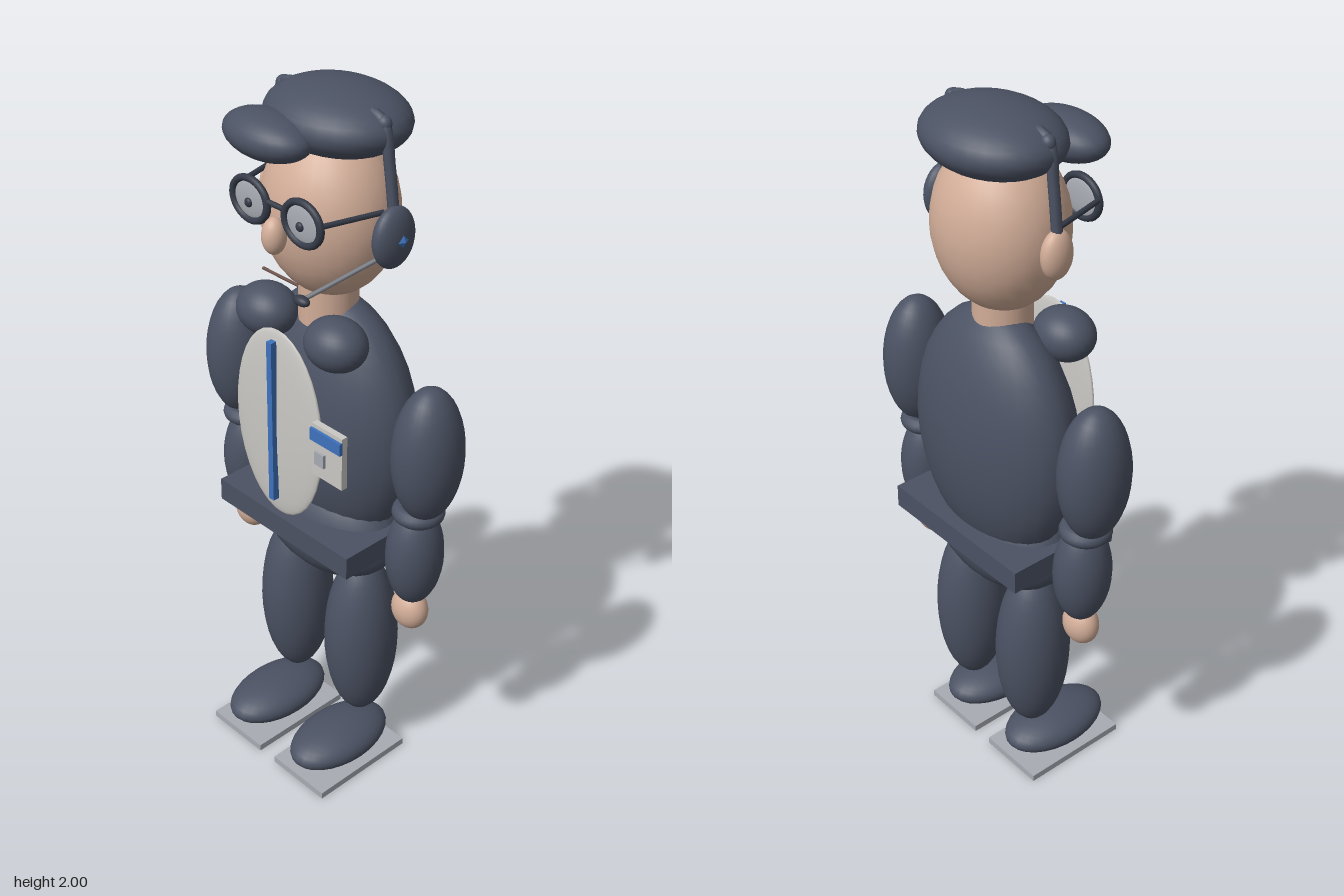
import * as THREE from 'three';

const mat = (name, color, opts = {}) => {
  const m = new THREE.MeshStandardMaterial({ color, ...opts });
  m.name = name;
  return m;
};

export function createModel() {
  const cloth = mat('slate cloth', 0x4b5263);
  const frame = mat('dark frame', 0x343a47);
  const skin = mat('skin', 0xd2ad98);
  const white = mat('off white', 0xcac8c4);
  const blue = mat('blue', 0x3f72bd);
  const grey = mat('light grey', 0xa8acb3);
  const metal = mat('boom grey', 0x747880);
  const brown = mat('mouth brown', 0x6b5048);

  const root = new THREE.Group();
  root.name = 'figure';
  const Z = -0.035; // depth of the body axis

  const add = (name, geo, material, x, y, z) => {
    const m = new THREE.Mesh(geo, material);
    m.name = name;
    m.position.set(x, y, z);
    root.add(m);
    return m;
  };
  // Ellipsoid with three radii
  const ball = (name, material, x, y, z, rx, ry, rz) =>
    add(name, new THREE.SphereGeometry(1, 28, 18).scale(rx, ry, rz), material, x, y, z);
  const box = (name, material, x, y, z, w, h, d) =>
    add(name, new THREE.BoxGeometry(w, h, d), material, x, y, z);
  // Round rod along a list of points
  const rod = (name, material, r, pts, steps = 1) => {
    const v = pts.map((p) => new THREE.Vector3(...p));
    const path = v.length === 2 ? new THREE.LineCurve3(v[0], v[1]) : new THREE.CatmullRomCurve3(v);
    return add(name, new THREE.TubeGeometry(path, steps, r, 8), material, 0, 0, 0);
  };

  // Torso, pelvis and belt
  ball('torso', cloth, 0, 1.08, -0.05, 0.277, 0.37, 0.155);
  ball('pelvis', cloth, 0, 0.765, Z, 0.24, 0.17, 0.14);
  box('belt', cloth, 0, 0.795, -0.03, 0.5, 0.066, 0.342);

  // Shirt front with zip, and badge
  ball('shirtFront', white, 0, 1.128, 0.143, 0.162, 0.277, 0.018);
  box('zip', blue, 0, 1.143, 0.166, 0.018, 0.475, 0.018);
  box('badge', white, 0.209, 1.143, 0.164, 0.108, 0.152, 0.018);
  box('badgeStripe', blue, 0.209, 1.19, 0.176, 0.108, 0.035, 0.009);
  box('badgePicture', grey, 0.187, 1.125, 0.176, 0.034, 0.038, 0.009);

  // Limbs, mirrored
  for (const s of [-1, 1]) {
    const side = s > 0 ? 'left' : 'right';
    ball(side + 'Collar', cloth, s * 0.127, 1.387, 0.065, 0.088, 0.069, 0.076);
    ball(side + 'UpperArm', cloth, s * 0.357, 1.127, Z, 0.089, 0.193, 0.1);
    ball(side + 'Forearm', cloth, s * 0.325, 0.8, Z, 0.075, 0.155, 0.081);
    const cuff = add(side + 'Cuff', new THREE.TorusGeometry(0.048, 0.022, 12, 28), cloth, s * 0.333, 0.94, Z);
    cuff.rotation.x = Math.PI / 2;
    ball(side + 'Hand', skin, s * 0.32, 0.616, -0.03, 0.055, 0.06, 0.044);
    ball(side + 'Leg', cloth, s * 0.132, 0.412, Z, 0.101, 0.27, 0.107);
    ball(side + 'Shoe', cloth, s * 0.132, 0.074, 0.05, 0.101, 0.056, 0.167);
    box(side + 'Sole', grey, s * 0.132, 0.01, 0.048, 0.202, 0.02, 0.326);
  }

  // Head
  add('neck', new THREE.CylinderGeometry(0.078, 0.078, 0.16, 28), skin, 0, 1.46, -0.03);
  ball('head', skin, 0, 1.68, Z, 0.185, 0.225, 0.167);
  ball('nose', skin, 0, 1.665, 0.15, 0.031, 0.048, 0.032);
  rod('mouth', brown, 0.004, [[-0.065, 1.548, 0.13], [0.065, 1.548, 0.13]]);
  for (const s of [-1, 1]) ball('ear', skin, s * 0.207, 1.677, -0.038, 0.031, 0.065, 0.045);

  // Cap with slouched front
  ball('cap', cloth, 0, 1.915, -0.058, 0.2, 0.085, 0.163);
  ball('capFront', cloth, -0.065, 1.892, 0.108, 0.134, 0.058, 0.083);

  // Glasses
  for (const s of [-1, 1]) {
    const rim = add('glassesRim', new THREE.TorusGeometry(0.06, 0.01, 10, 32), frame, s * 0.093, 1.727, 0.143);
    rim.scale.set(1.03, 0.9, 1);
    ball('lens', grey, s * 0.093, 1.727, 0.141, 0.058, 0.05, 0.008);
    ball('pupil', frame, s * 0.091, 1.721, 0.15, 0.012, 0.012, 0.008);
    rod('glassesArm', frame, 0.007, [[s * 0.155, 1.74, 0.14], [s * 0.197, 1.74, -0.02]]);
  }
  rod('glassesBridge', frame, 0.007, [[-0.035, 1.742, 0.143], [0.035, 1.742, 0.143]]);

  // Headset: band over the head, one ear cup, boom and microphone
  rod('headband', cloth, 0.014, [[-0.208, 1.72, -0.038], [-0.192, 1.85, -0.038], [-0.172, 1.953, -0.038],
    [-0.1, 1.965, -0.038], [0.1, 1.965, -0.038], [0.172, 1.953, -0.038], [0.196, 1.85, -0.038],
    [0.215, 1.72, -0.038]], 40);
  for (const s of [-1, 1]) ball('bandEnd', cloth, s * 0.172, 1.948, -0.04, 0.021, 0.021, 0.018);
  ball('earCup', cloth, 0.221, 1.68, -0.031, 0.034, 0.08, 0.065);
  const light = add('earCupLight', new THREE.OctahedronGeometry(0.025), blue, 0.25, 1.68, -0.031);
  light.scale.x = 0.5;
  rod('boom', metal, 0.006, [[0.218, 1.64, -0.01], [0.132, 1.555, 0.183]]);
  ball('microphone', frame, 0.132, 1.554, 0.183, 0.025, 0.013, 0.015);

  return root;
}
